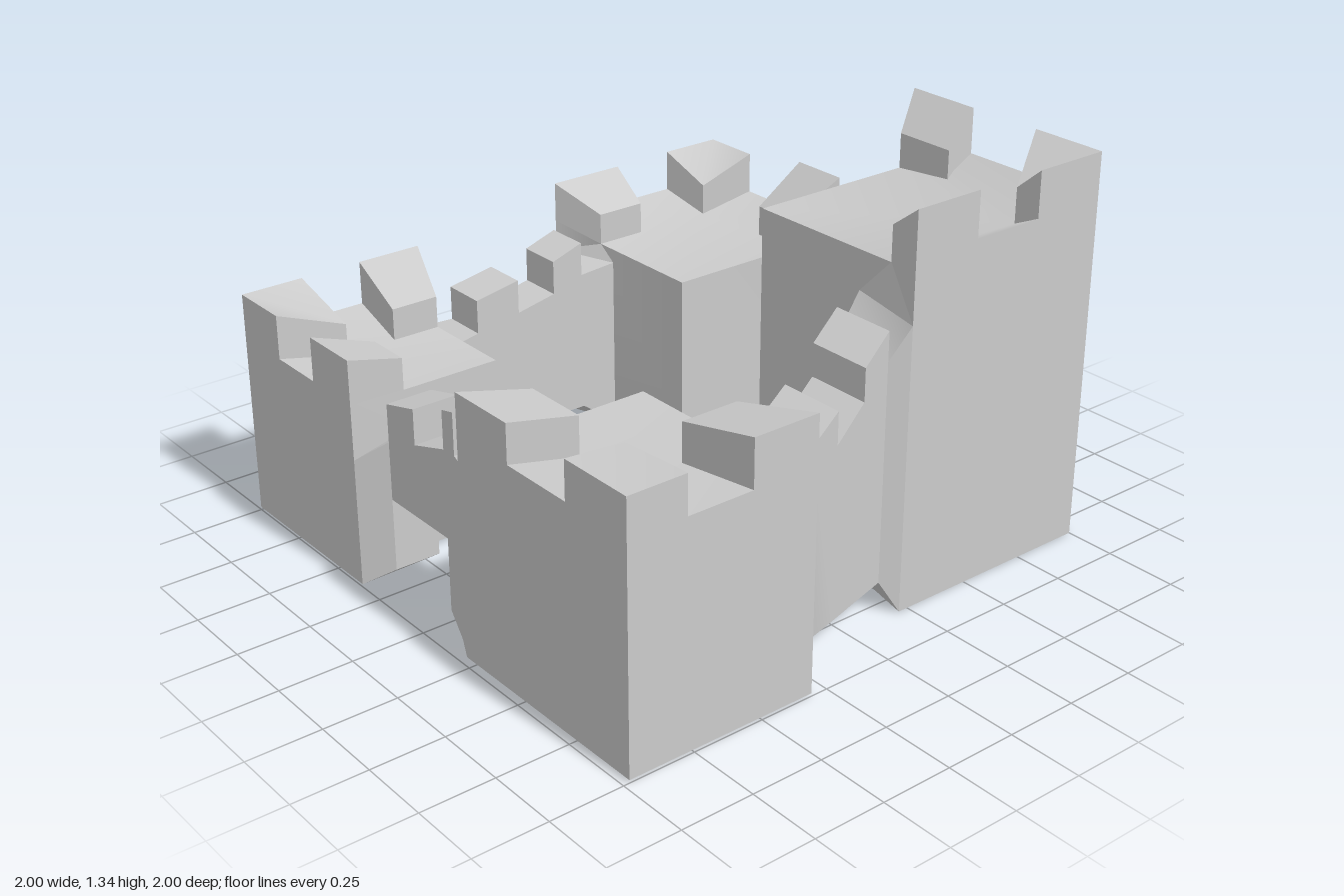
import * as THREE from 'three';
import { mergeGeometries, toCreasedNormals } from 'three/addons/utils/BufferGeometryUtils.js';

const material = new THREE.MeshStandardMaterial({ color: 0xcccccc });

// Block over a small footprint; each corner is [x, z, bottom, top].
// sides[i] replaces the face after corner i by strips [lowA, lowB, highA, highB]
function block(corners, sides = {}, hasBottom = true) {
  let area = 0;
  corners.forEach((a, i) => {
    const b = corners[(i + 1) % corners.length];
    area += a[0] * b[1] - b[0] * a[1];
  });
  const pos = [];
  const at = (k, y) => [k[0], y, k[1]];
  const tri = (...p) => (area > 0 ? p.reverse() : p).forEach((v) => pos.push(...v));
  corners.forEach((a, i) => {
    const b = corners[(i + 1) % corners.length];
    for (const [la, lb, ha, hb] of sides[i] ?? [[a[2], b[2], a[3], b[3]]]) {
      tri(at(a, la), at(b, lb), at(b, hb));
      tri(at(a, la), at(b, hb), at(a, ha));
    }
    if (i > 0 && i < corners.length - 1) {
      const o = corners[0];
      tri(at(o, o[3]), at(a, a[3]), at(b, b[3]));
      if (hasBottom) tri(at(o, o[2]), at(b, b[2]), at(a, a[2]));
    }
  });
  const geo = new THREE.BufferGeometry();
  geo.setAttribute('position', new THREE.Float32BufferAttribute(pos, 3));
  return geo;
}

// One mesh from several blocks: gentle folds smooth, corners sharp
function part(name, ...blocks) {
  const mesh = new THREE.Mesh(toCreasedNormals(mergeGeometries(blocks), 0.72), material);
  mesh.name = name;
  return mesh;
}

// Tower: roof rising towards its outer edges, three merlons,
// and wedges that close the corner between tower and wall
function tower(t) {
  const g = new THREE.Group();
  g.name = t.name;
  const [floorIn, floorOut, topIn] = t.y;
  const [top1, topC, top2] = t.tops;
  const inner = (p) => [...p, t.base, floorIn];
  const outer = (p) => [...p, t.base, floorOut];
  const mIn = (p) => [...p, floorIn - 0.02, topIn];
  const mOut = (p, y) => [...p, floorOut, y];
  const merlon = (name, ...corners) => part(name, block(corners, {}, false));
  const flank = (inPoint, outPoint, seat) => block(
    [inner(t.tip), inner(inPoint), outer(outPoint), outer(t.corner)],
    { 0: [], 1: [[...seat, floorIn, floorOut]], 3: [] });
  g.add(
    part('towerBody',
      block([[...t.yard, t.yardBase, floorIn], inner(t.in1), inner(t.tip), inner(t.in2)], { 1: [], 2: [] }),
      flank(t.in1, t.out1, t.seat1),
      flank(t.in2, t.out2, t.seat2)),
    merlon('sideMerlon', mIn(t.in1), mOut(t.out1, top1), mOut(t.gap1[0], top1), mIn(t.gap1[1])),
    merlon('cornerMerlon', mIn(t.tip), mOut(t.cut1, topC), mOut(t.corner, topC), mOut(t.cut2, topC)),
    merlon('sideMerlon', mIn(t.in2), mOut(t.out2, top2), mOut(t.gap2[0], top2), mIn(t.gap2[1])),
  );
  const joint = (wallEnd, inPoint, outPoint, y) => g.add(part('wallJoint',
    block([[...wallEnd, t.base, y], inner(inPoint), [...outPoint, t.base, y]], { 0: [], 1: [], 2: [] })));
  if (t.wallEnds) {
    joint(t.wallEnds[0], t.in1, t.out1, t.seat1[1]);
    joint(t.wallEnds[1], t.in2, t.out2, t.seat2[1]);
  }
  return g;
}

// Wall: sections are [outerX, outerZ, innerX, innerZ, bottom]; stretches are
// [startTop, endTop, gateHeight], so merlons step up and a gate lifts the bottom
function wall(name, sections, stretches) {
  const low = (stretch, section) => stretch[2] ?? section[4];
  // Exposed strips where a stretch stands above or hangs below its neighbour
  const steps = (section, own, top, next, nextTop) => {
    if (!next) return [];
    const strips = [];
    const bottom = low(own, section), nextBottom = low(next, section);
    if (top > nextTop) strips.push([nextTop, nextTop, top, top]);
    if (bottom < nextBottom) strips.push([bottom, bottom, nextBottom, nextBottom]);
    return strips;
  };
  return part(name, ...stretches.map((s, i) => {
    const a = sections[i], b = sections[i + 1];
    const before = stretches[i - 1], after = stretches[i + 1];
    const lowA = low(s, a), lowB = low(s, b);
    return block(
      [[a[0], a[1], lowA, s[0]], [a[2], a[3], lowA, s[0]], [b[2], b[3], lowB, s[1]], [b[0], b[1], lowB, s[1]]],
      { 0: steps(a, s, s[0], before, before?.[1]), 2: steps(b, s, s[1], after, after?.[0]) });
  }));
}

export function createModel() {
  const castle = new THREE.Group();
  castle.name = 'castle';

  // Towers
  castle.add(
    tower({
      name: 'keep', base: 0, yardBase: 0.01, y: [1.1, 1.18, 1.22], tops: [1.335, 1.335, 1.335],
      yard: [0.28, 0.08], in1: [0.285, 0.655], out1: [0.215, 0.825], corner: [1, 0.825],
      tip: [0.8, 0.67], out2: [1, 0.015], in2: [0.88, 0.08],
      gap1: [[0.47, 0.825], [0.485, 0.655]], cut1: [0.73, 0.825],
      cut2: [1, 0.555], gap2: [[1, 0.285], [0.88, 0.3]],
      seat1: [1.1, 0.97], seat2: [1.1, 0.97], wallEnds: [[0.28, 0.53], [0.71, 0.08]],
    }),
    tower({
      name: 'frontTower', base: 0.01, yardBase: 0.1, y: [0.73, 0.76, 0.86], tops: [0.92, 0.89, 0.89],
      yard: [-0.36, 0.28], in1: [-0.36, 0.71], out1: [-0.31, 1], corner: [-0.98, 1],
      tip: [-0.76, 0.71], out2: [-0.98, 0.21], in2: [-0.76, 0.28],
      gap1: [[-0.545, 1], [-0.56, 0.71]], cut1: [-0.775, 1],
      cut2: [-0.98, 0.73], gap2: [[-0.98, 0.46], [-0.76, 0.5]],
      seat1: [0.57, 0.57], seat2: [0.67, 0.67],
    }),
    tower({
      name: 'backLeftTower', base: 0.01, yardBase: 0.09, y: [0.68, 0.74, 0.79], tops: [0.88, 0.885, 0.93],
      yard: [0.33, -0.385], in1: [0.33, -0.84], out1: [0.25, -1], corner: [0.98, -1],
      tip: [0.8, -0.84], out2: [0.98, -0.31], in2: [0.82, -0.385],
      gap1: [[0.53, -1], [0.51, -0.84]], cut1: [0.76, -1],
      cut2: [0.98, -0.79], gap2: [[0.98, -0.52], [0.82, -0.55]],
      seat1: [0.68, 0.63], seat2: [0.68, 0.54], wallEnds: [[0.33, -0.77], [0.73, -0.385]],
    }),
    tower({
      name: 'backRightTower', base: 0.01, yardBase: 0.01, y: [0.59, 0.64, 0.7], tops: [0.79, 0.79, 0.79],
      yard: [-0.41, -0.43], in1: [-0.41, -0.77], out1: [-0.33, -1], corner: [-1, -1],
      tip: [-0.76, -0.765], out2: [-1, -0.35], in2: [-0.76, -0.43],
      gap1: [[-0.56, -1], [-0.58, -0.77]], cut1: [-0.78, -1],
      cut2: [-1, -0.78], gap2: [[-1, -0.57], [-0.76, -0.59]],
      seat1: [0.49, 0.49], seat2: [0.45, 0.45],
    }),
  );

  // Walls, raised off the ground between the towers
  castle.add(
    wall('frontWall', [
      [-0.31, 1, -0.36, 0.71, 0.01], [-0.24, 0.9, -0.24, 0.67, 0.11],
      [-0.11, 0.865, -0.11, 0.635, 0.11], [0.03, 0.825, 0.03, 0.6, 0.11],
      [0.155, 0.79, 0.155, 0.565, 0.11], [0.215, 0.825, 0.28, 0.53, 0],
    ], [[0.57, 0.63], [0.75, 0.81], [0.7, 0.78], [0.89, 0.96], [0.86, 0.97]]),
    wall('leftWall', [
      [1, 0.015, 0.71, 0.08, 0], [0.91, -0.05, 0.71, -0.05, 0.12],
      [0.92, -0.21, 0.715, -0.21, 0.11], [0.98, -0.31, 0.73, -0.385, 0.01],
    ], [[0.97, 0.8], [0.91, 0.79], [0.66, 0.54]]),
    wall('backWall', [
      [-0.33, -1, -0.41, -0.77, 0.01], [-0.25, -0.93, -0.25, -0.77, 0.11],
      [-0.08, -0.93, -0.08, -0.77, 0.11], [0.07, -0.93, 0.07, -0.77, 0.11],
      [0.19, -0.93, 0.19, -0.77, 0.11], [0.25, -1, 0.33, -0.77, 0.01],
    ], [[0.49, 0.52], [0.64, 0.67], [0.55, 0.58], [0.7, 0.74], [0.62, 0.63]]),
    wall('rightWall', [
      [-1, -0.35, -0.76, -0.43, 0.01], [-0.92, -0.27, -0.76, -0.27, 0.07],
      [-0.92, -0.12, -0.76, -0.12, 0.11], [-0.92, 0.04, -0.76, 0.04, 0.07],
      [-0.96, 0.16, -0.76, 0.16, 0.04], [-0.98, 0.21, -0.76, 0.28, 0.01],
    ], [[0.45, 0.52], [0.65, 0.69, 0.32], [0.57, 0.62, 0.32], [0.75, 0.8], [0.66, 0.67]]),
  );
  return castle;
}
